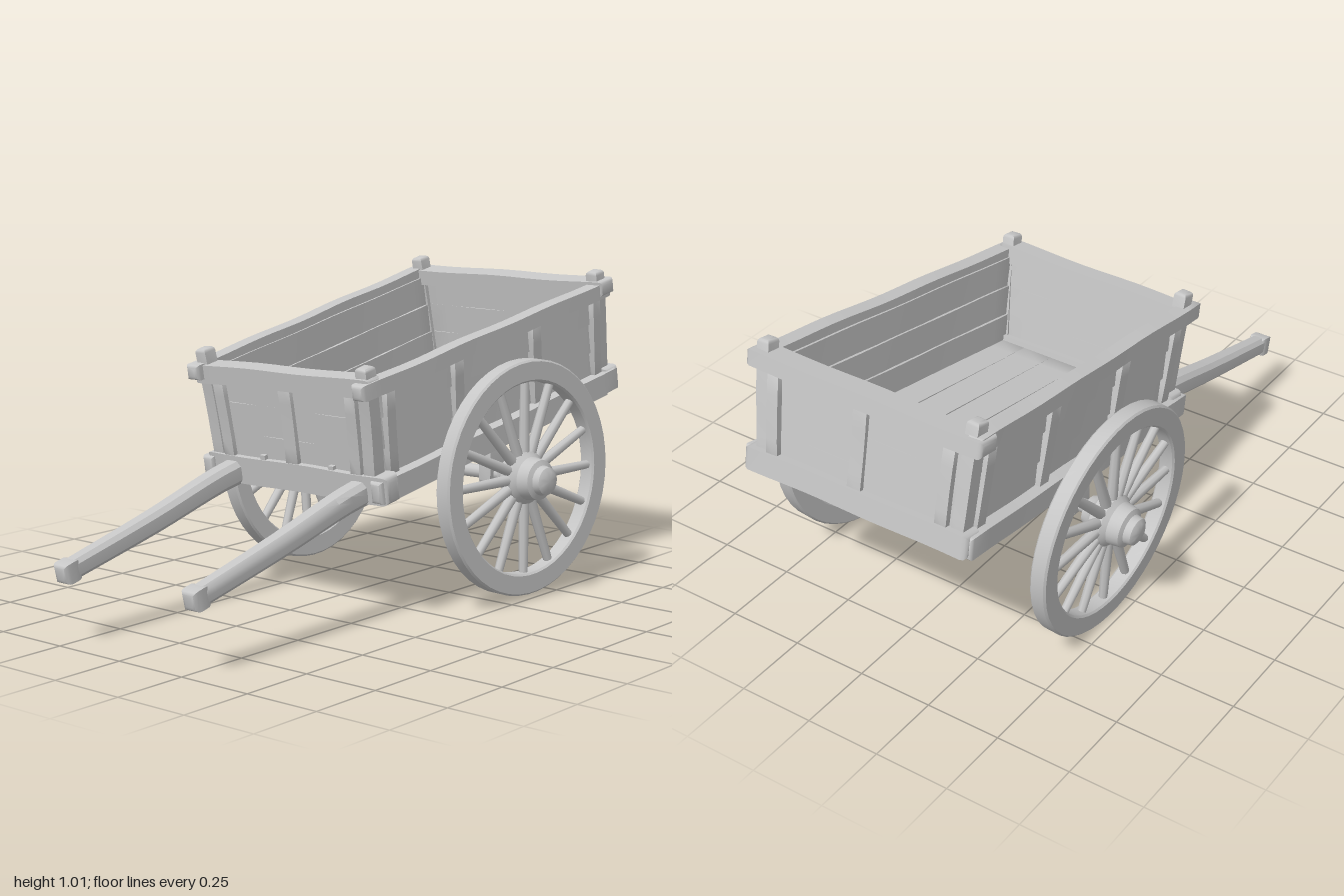
import * as THREE from 'three';
import { toCreasedNormals } from 'three/addons/utils/BufferGeometryUtils.js';

const wood = new THREE.MeshStandardMaterial({ color: 0xc6c6c6 });
wood.name = 'grey wood';

const V = (x, y, z) => new THREE.Vector3(x, y, z);
const lerp = THREE.MathUtils.lerp;
let seed = 0;

function add(parent, name, geometry) {
  const mesh = new THREE.Mesh(geometry, wood);
  mesh.name = name;
  parent.add(mesh);
  return mesh;
}

// Hand-hewn timber from a to b: rounded edges, with gently wavering sides
function beam(parent, name, a, b, w, h, up = V(0, 1, 0), wobble = 0.002) {
  const length = a.distanceTo(b);
  const bevel = Math.min(w, h) * 0.3;
  const x = w / 2 - bevel, y = h / 2 - bevel;
  const shape = new THREE.Shape([
    new THREE.Vector2(-x, -y), new THREE.Vector2(x, -y),
    new THREE.Vector2(x, y), new THREE.Vector2(-x, y),
  ]);
  const geo = new THREE.ExtrudeGeometry(shape, {
    depth: length - 2 * bevel, steps: Math.max(2, Math.ceil(length / 0.08)),
    bevelSize: bevel, bevelThickness: bevel, bevelSegments: 3,
  });
  geo.translate(0, 0, bevel);
  const p = geo.attributes.position;
  const s = ++seed * 1.7;
  for (let i = 0; i < p.count; i++) {
    const z = p.getZ(i);
    p.setX(i, p.getX(i) + wobble * 0.6 * Math.sin(z * 9 + s));
    p.setY(i, p.getY(i) + wobble * Math.sin(z * 14 + s * 2.3));
  }
  const m = new THREE.Matrix4().lookAt(b, a, up).setPosition(a);
  geo.applyMatrix4(m);
  return add(parent, name, toCreasedNormals(geo, 0.9));
}

// The bed is wider at the back and at the top
const sideX = (z, y) => lerp(0.37, 0.328, (z + 0.58) / 1.18) - 0.02 * (1 - y / 0.3);

function makeBed() {
  const bed = new THREE.Group();
  bed.name = 'cartBed';
  const front = 0.6, back = -0.58;
  const Z = V(0, 0, 1);

  // Floor slab, drawn in plan
  const plan = new THREE.Shape([
    new THREE.Vector2(-0.35, -0.62), new THREE.Vector2(0.35, -0.62),
    new THREE.Vector2(0.385, 0.57), new THREE.Vector2(-0.385, 0.57),
  ]);
  const slab = new THREE.ExtrudeGeometry(plan, { depth: 0.06, bevelEnabled: false });
  slab.rotateX(-Math.PI / 2).translate(0, -0.065, 0);
  add(bed, 'floorSlab', slab);

  // Floor boards
  for (let i = 0; i < 6; i++) {
    const t = (i + 0.5) / 3 - 1;
    beam(bed, 'floorBoard', V(t * 0.318, 0, front - 0.02), V(t * 0.345, 0, back + 0.02),
      0.106, 0.02, undefined, 0);
  }

  // Sills round the floor
  beam(bed, 'frontSill', V(-0.36, -0.02, 0.6), V(0.38, -0.015, 0.6), 0.07, 0.09);
  beam(bed, 'backSill', V(-0.405, -0.005, -0.585), V(0.405, -0.005, -0.585), 0.07, 0.075);
  for (const s of [-1, 1]) {
    beam(bed, 'sideSill', V(s * 0.345, -0.02, 0.65), V(s * 0.388, -0.01, -0.61), 0.045, 0.07);
  }

  // Wall planks, three rows
  for (let row = 0; row < 3; row++) {
    const y = 0.05 + row * 0.1;
    for (const s of [-1, 1]) {
      beam(bed, 'sidePlank', V(s * sideX(front, y), y, front), V(s * sideX(back, y), y, back),
        0.03, 0.1, undefined, 0.001);
    }
    for (const z of [front, back]) {
      const x = sideX(z, y);
      beam(bed, 'endPlank', V(-x, y, z), V(x, y, z), 0.03, 0.1, undefined, 0.001);
    }
  }

  // Corner posts with rounded tops, and flat stiles beside them
  for (const s of [-1, 1]) {
    for (const z of [front, back]) {
      const inward = z > 0 ? -1 : 1;
      beam(bed, 'cornerPost', V(s * sideX(z, 0), -0.02, z),
        V(s * sideX(z, 0.3), 0.372, z + 0.012), 0.042, 0.048, Z);
      const zs = z + inward * 0.055;
      beam(bed, 'sideStile', V(s * (sideX(zs, 0) + 0.018), 0, zs),
        V(s * (sideX(zs, 0.3) + 0.018), 0.3, zs), 0.03, 0.04, Z);
      const x = sideX(z, 0.15) - 0.05;
      const ze = z - inward * 0.018;
      beam(bed, 'endStile', V(s * (x - 0.008), 0, ze), V(s * (x + 0.004), 0.3, ze), 0.04, 0.03, Z);
    }
    for (const z of [0.215, -0.19]) {
      beam(bed, 'sideBrace', V(s * (sideX(z, 0) + 0.018), -0.02, z),
        V(s * (sideX(z, 0.3) + 0.018), 0.3, z), 0.03, 0.045, Z);
    }
    // Pegs along the front sill
    const peg = add(bed, 'sillPeg', new THREE.BoxGeometry(0.02, 0.03, 0.03));
    peg.position.set(s * 0.14 + 0.02, 0.025, 0.615);
  }
  for (const z of [front + 0.015, back - 0.015]) {
    beam(bed, 'endBrace', V(0.004, 0, z), V(0, 0.3, z), 0.048, 0.03, Z);
  }

  // Top rails
  for (const s of [-1, 1]) {
    beam(bed, 'sideRail', V(s * 0.337, 0.302, 0.675), V(s * 0.385, 0.306, -0.605), 0.05, 0.05);
  }
  beam(bed, 'frontRail', V(-0.36, 0.292, 0.612), V(0.36, 0.308, 0.612), 0.066, 0.06);
  beam(bed, 'backRail', V(-0.42, 0.303, -0.575), V(0.415, 0.312, -0.575), 0.08, 0.052);

  bed.position.set(0, 0.545, -0.385);
  bed.rotation.x = 0.168;
  return bed;
}

const profile = (pts) => pts.map(([r, y]) => new THREE.Vector2(r, y));

// Spoked wheel; its hub points outward along side * x
function makeWheel(name, side) {
  const wheel = new THREE.Group();
  wheel.name = name;
  const turn = (geo) => toCreasedNormals(geo.rotateZ(-side * Math.PI / 2), 0.6);

  const rim = new THREE.LatheGeometry(profile([
    [0.31, -0.022], [0.316, -0.028], [0.374, -0.028], [0.38, -0.022],
    [0.38, 0.022], [0.374, 0.028], [0.316, 0.028], [0.31, 0.022], [0.31, -0.022],
  ]), 48);
  add(wheel, 'rim', turn(rim));

  const hub = new THREE.LatheGeometry(profile([
    [0, -0.075], [0.045, -0.075], [0.055, -0.05], [0.08, -0.03], [0.085, 0.015],
    [0.07, 0.03], [0.064, 0.07], [0.048, 0.077], [0.044, 0.1], [0.03, 0.108], [0, 0.11],
  ]), 24);
  add(wheel, 'hub', turn(hub));

  const count = 16;
  for (let i = 0; i < count; i++) {
    const spoke = new THREE.CylinderGeometry(0.014, 0.018, 0.26, 8);
    spoke.translate(0, 0.195, 0).rotateX((i / count) * Math.PI * 2);
    add(wheel, 'spoke', spoke);
  }
  return wheel;
}

export function createModel() {
  seed = 0;
  const cart = new THREE.Group();
  cart.name = 'handCart';
  cart.add(makeBed());

  // Wheels sit slightly askew
  const left = makeWheel('leftWheel', 1);
  left.position.set(0.472, 0.395, -0.345);
  left.rotation.set(0, -0.108, 0.01);
  const right = makeWheel('rightWheel', -1);
  right.position.set(-0.47, 0.38, -0.36);
  right.rotation.set(0, -0.02, 0.065);
  cart.add(left, right);

  // Axle and its brackets
  const axle = add(cart, 'axle', new THREE.CylinderGeometry(0.022, 0.022, 0.86, 12));
  axle.rotation.z = Math.PI / 2 + 0.012;
  axle.position.set(0, 0.388, -0.352);
  for (const s of [-1, 1]) {
    beam(cart, 'axleBracket', V(s * 0.34, 0.36, -0.352), V(s * 0.34, 0.5, -0.352), 0.045, 0.08, V(0, 0, 1));
  }

  // Pulling shafts, gently bowed, with squared grips
  for (const [x0, x1, dy] of [[-0.25, -0.248, 0], [0.268, 0.275, 0.005]]) {
    const path = new THREE.CatmullRomCurve3([
      V(x0, 0.428, 0.12), V(x0, 0.395, 0.3), V(x1, 0.312 + dy, 0.6), V(x1, 0.218 + dy, 0.975),
    ]);
    const steps = 14, sides = 12;
    const geo = new THREE.TubeGeometry(path, steps, 1, sides, false);
    const p = geo.attributes.position;
    // Square the section off and taper it toward the grip
    for (let i = 0; i <= steps; i++) {
      const c = path.getPointAt(i / steps);
      const r = lerp(0.041, 0.031, i / steps);
      for (let j = 0; j <= sides; j++) {
        const k = i * (sides + 1) + j;
        const d = V(0, 0, 0).fromBufferAttribute(p, k).sub(c);
        const round = Math.pow(Math.abs(d.x) ** 4 + Math.hypot(d.y, d.z) ** 4, -0.25);
        d.multiplyScalar(r * round);
        d.x *= 0.92;
        p.setXYZ(k, c.x + d.x, c.y + d.y, c.z + d.z);
      }
    }
    add(cart, 'shaft', toCreasedNormals(geo, 0.7));
    beam(cart, 'shaftGrip', V(x1, 0.229 + dy, 0.93), V(x1, 0.213 + dy, 0.995), 0.058, 0.063, undefined, 0);
  }
  return cart;
}
